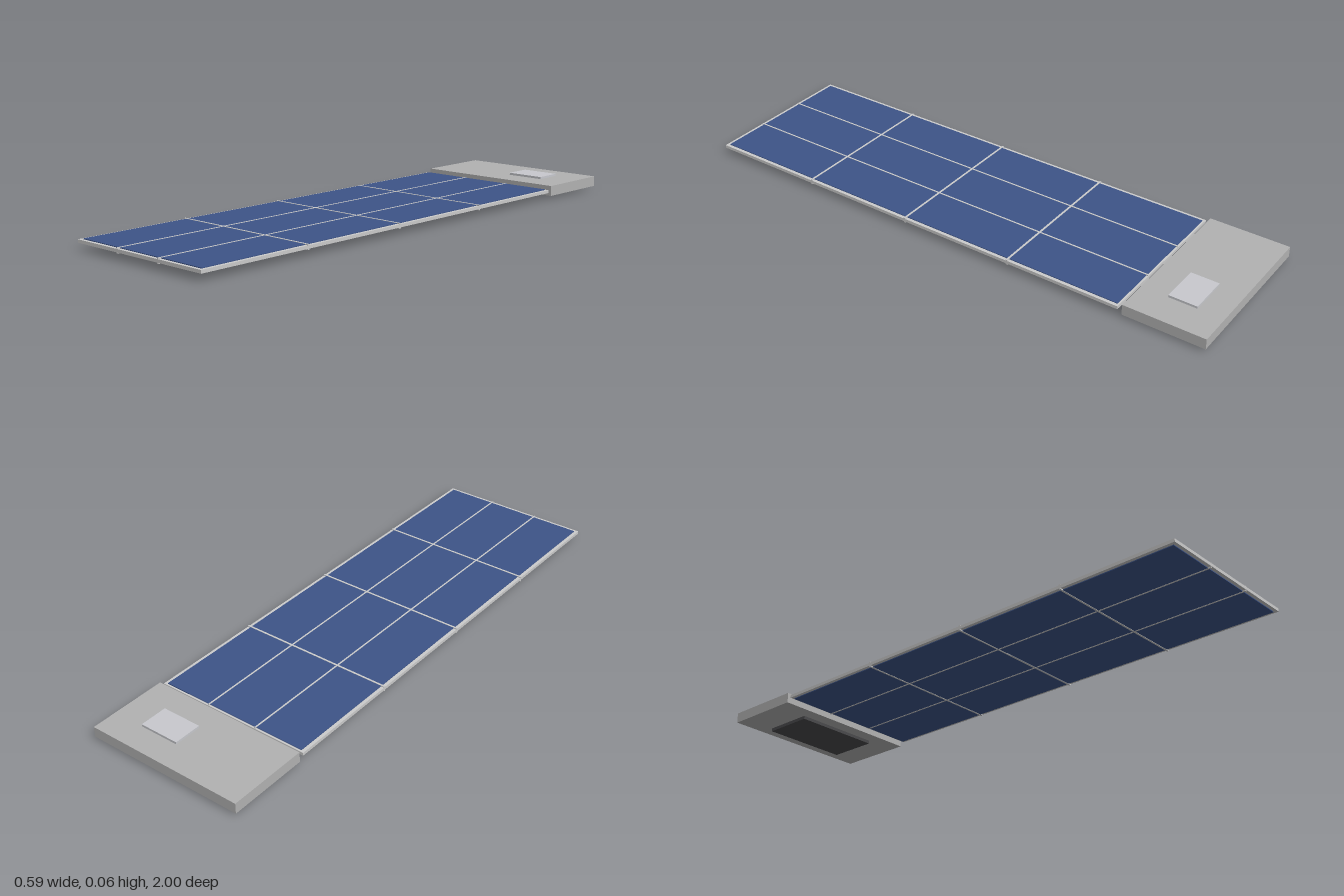
import * as THREE from 'three';

const paint = (color) => new THREE.MeshStandardMaterial({ color });

export function createModel() {
  const model = new THREE.Group();
  model.name = 'solarPanelSatellite';

  const bodyMat = paint(0xb2b2b2);
  const frameMat = paint(0xcccccc);
  const cellMat = paint(0x3d5488);
  const padMat = paint(0x4a4a4c);
  const plateMat = paint(0xc8c9ce);

  // Box given by its extents along each axis
  function box(name, [x0, x1], [y0, y1], [z0, z1], material, parent = model) {
    const mesh = new THREE.Mesh(new THREE.BoxGeometry(x1 - x0, y1 - y0, z1 - z0), material);
    mesh.position.set((x0 + x1) / 2, (y0 + y1) / 2, (z0 + z1) / 2);
    mesh.name = name;
    parent.add(mesh);
    return mesh;
  }

  // Flat body with a raised plate on top and a dark pad underneath
  box('body', [-0.294, 0.294], [0.012, 0.05], [-1, -0.708], bodyMat);
  box('topPlate', [0.03, 0.177], [0.05, 0.058], [-0.907, -0.805], plateMat);
  box('bottomPad', [-0.168, 0.168], [0, 0.012], [-0.945, -0.758], padMat);

  // Long panel: core sheet with cell sheets on both faces
  const panel = new THREE.Group();
  panel.name = 'solarPanel';
  model.add(panel);
  box('panelFrame', [-0.294, 0.294], [0.0255, 0.0365], [-0.692, 1], frameMat, panel);
  box('upperCells', [-0.282, 0.282], [0.0365, 0.039], [-0.685, 0.988], cellMat, panel);
  box('lowerCells', [-0.282, 0.282], [0.0225, 0.0255], [-0.685, 0.988], cellMat, panel);

  // Raised strips dividing the cells, showing on both faces
  const stripY = [0.0215, 0.04];
  for (const x of [-0.098, 0.098]) {
    box('lengthwiseStrip', [x - 0.0028, x + 0.0028], stripY, [-0.69, 0.998], frameMat, panel);
  }
  for (const z of [-0.273, 0.15, 0.573]) {
    box('crossStrip', [-0.294, 0.294], stripY, [z - 0.0035, z + 0.0035], frameMat, panel);
  }

  return model;
}
